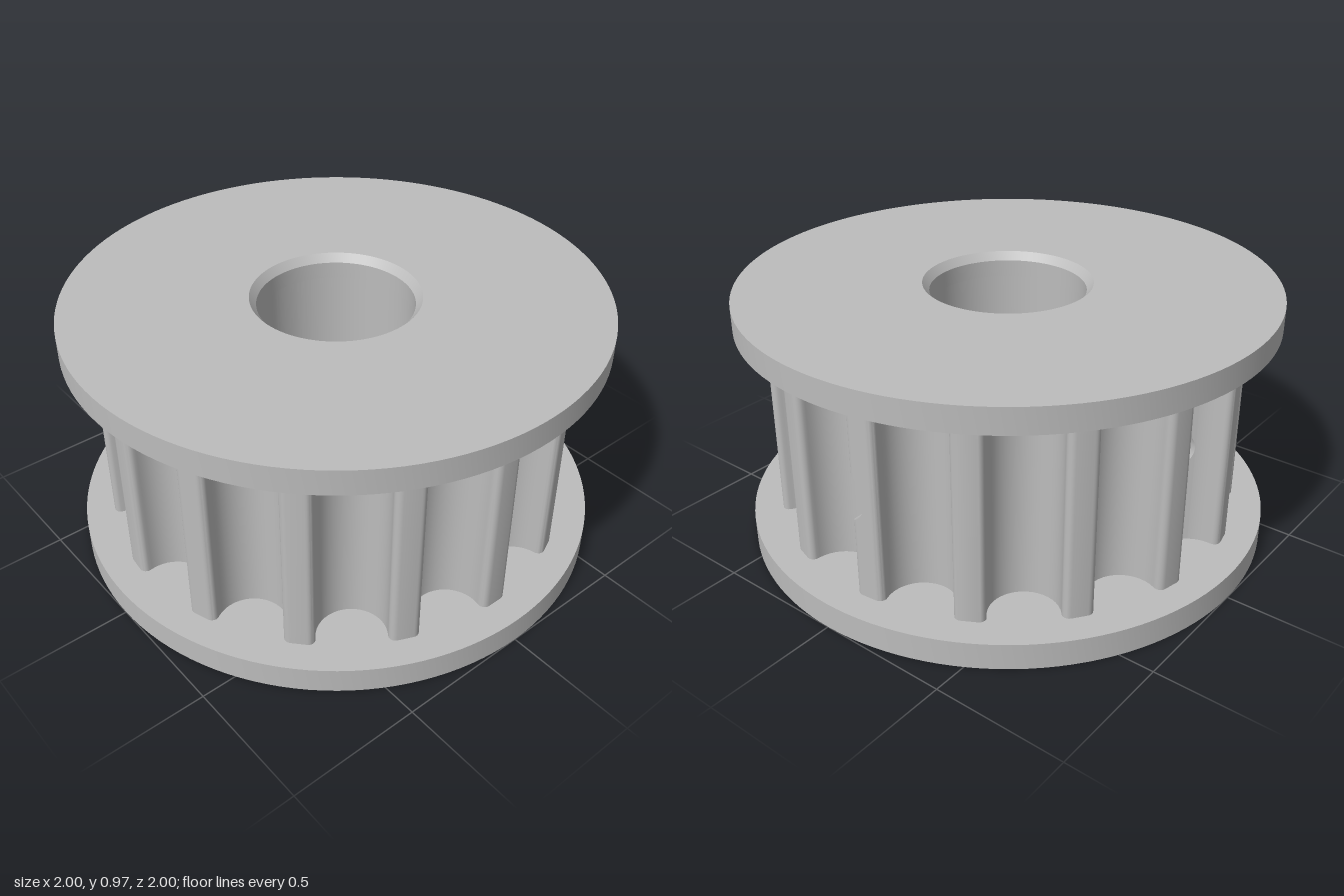
import * as THREE from 'three';
import { toCreasedNormals } from 'three/addons/utils/BufferGeometryUtils.js';

const TEETH = 15, TIP = 0.89, BORE = 0.29;
const Y0 = 0.1, Y1 = 0.875, HEIGHT = 0.97;
const HOLE_R = 0.1, HOLE_Y = (Y0 + Y1) / 2;

// Set-screw holes: depth along the hole axis and sideways offset of a point [x, z]
const holes = [
  { depth: p => p[0], side: p => p[1], at: (d, s) => [d, s] },   // towards +x
  { depth: p => -p[1], side: p => p[0], at: (d, s) => [s, -d] }, // towards -z
];

// Point at tangential offset t and radius r in the frame turned by angle a from +z
const place = (a, t, r) => [
  r * Math.sin(a) + t * Math.cos(a),
  r * Math.cos(a) - t * Math.sin(a),
];

// Toothed outline: rounded tooth tips with semicircular grooves between
function toothOutline() {
  const pts = [], step = (2 * Math.PI) / TEETH, f = 0.025, n = 5;
  for (let k = 0; k < TEETH; k++) {
    const a = k * step;
    for (const s of [-1, 1]) {
      for (let i = 0; i <= n; i++) {
        const q = ((s < 0 ? i : n - i) / n) * Math.PI / 2;
        pts.push(place(a, s * (0.03 + f * Math.cos(q)), TIP - f + f * Math.sin(q)));
      }
    }
    for (let i = 0; i <= 20; i++) {
      const q = (i / 20) * Math.PI;
      pts.push(place(a + step / 2, -0.126 * Math.cos(q), 0.845 - 0.126 * Math.sin(q)));
    }
  }
  return pts;
}

function circleOutline(r, n) {
  return Array.from({ length: n }, (_, i) => place((i / n) * 2 * Math.PI, 0, r));
}

// Add extra points where the outline crosses a hole, so the rims come out round
function refine(pts) {
  const out = [];
  pts.forEach((a, i) => {
    const b = pts[(i + 1) % pts.length], ts = [];
    for (const h of holes) {
      if (h.depth(a) < 0.1) continue;
      for (let k = 0; k <= 24; k++) {
        const c = HOLE_R * Math.cos((k / 24) * Math.PI);
        const t = (c - h.side(a)) / (h.side(b) - h.side(a));
        if (t > 0.005 && t < 0.995) ts.push(t);
      }
    }
    out.push(a);
    ts.sort((m, n) => m - n).forEach(t =>
      out.push([a[0] + (b[0] - a[0]) * t, a[1] + (b[1] - a[1]) * t]));
  });
  return out;
}

// Upright wall along an outline, leaving the holes open; optionally adds the hole linings
function wall(outline, inward, lining) {
  const pos = [];
  const quad = (a, b, c, d, flip) => {
    const order = flip ? [a, c, b, a, d, c] : [a, b, c, a, c, d];
    order.forEach(v => pos.push(...v));
  };
  const v = (p, y) => [p[0], y, p[1]];
  const pts = refine(outline);
  pts.forEach((a, i) => {
    const b = pts[(i + 1) % pts.length];
    const mid = [(a[0] + b[0]) / 2, (a[1] + b[1]) / 2];
    const h = holes.find(o => o.depth(mid) > 0.1 && Math.abs(o.side(mid)) < HOLE_R);
    if (!h) {
      quad(v(a, Y0), v(b, Y0), v(b, Y1), v(a, Y1), inward);
      return;
    }
    const half = p => Math.sqrt(Math.max(0, HOLE_R ** 2 - h.side(p) ** 2));
    const ha = half(a), hb = half(b);
    quad(v(a, Y0), v(b, Y0), v(b, HOLE_Y - hb), v(a, HOLE_Y - ha), inward);
    quad(v(a, HOLE_Y + ha), v(b, HOLE_Y + hb), v(b, Y1), v(a, Y1), inward);
    if (!lining) return;
    const inner = p => h.at(Math.sqrt(BORE ** 2 - h.side(p) ** 2), h.side(p));
    const c = inner(a), d = inner(b);
    for (const s of [-1, 1]) {
      quad(v(a, HOLE_Y + s * ha), v(b, HOLE_Y + s * hb),
        v(d, HOLE_Y + s * hb), v(c, HOLE_Y + s * ha), s > 0);
    }
  });
  const g = new THREE.BufferGeometry();
  g.setAttribute('position', new THREE.Float32BufferAttribute(pos, 3));
  return toCreasedNormals(g, 0.6);
}

// Flange ring with a chamfered bore edge
function flange(profile) {
  const g = new THREE.LatheGeometry(profile.map(p => new THREE.Vector2(...p)), 128);
  return toCreasedNormals(g, 0.6);
}

export function createModel() {
  const group = new THREE.Group();
  const metal = new THREE.MeshStandardMaterial({ color: 0xbcbcbc });
  metal.name = 'greyMetal';
  const add = (name, geometry) => {
    const m = new THREE.Mesh(geometry, metal);
    m.name = name;
    group.add(m);
  };

  add('toothedBody', wall(toothOutline(), false, true));
  add('bore', wall(circleOutline(BORE, 128), true, false));
  add('bottomFlange', flange([
    [BORE, Y0], [BORE, 0.03], [0.315, 0], [1, 0], [1, Y0], [0.5, Y0],
  ]));
  add('topFlange', flange([
    [0.5, Y1], [1, Y1], [1, HEIGHT], [0.315, HEIGHT], [BORE, HEIGHT - 0.03], [BORE, Y1],
  ]));
  return group;
}
